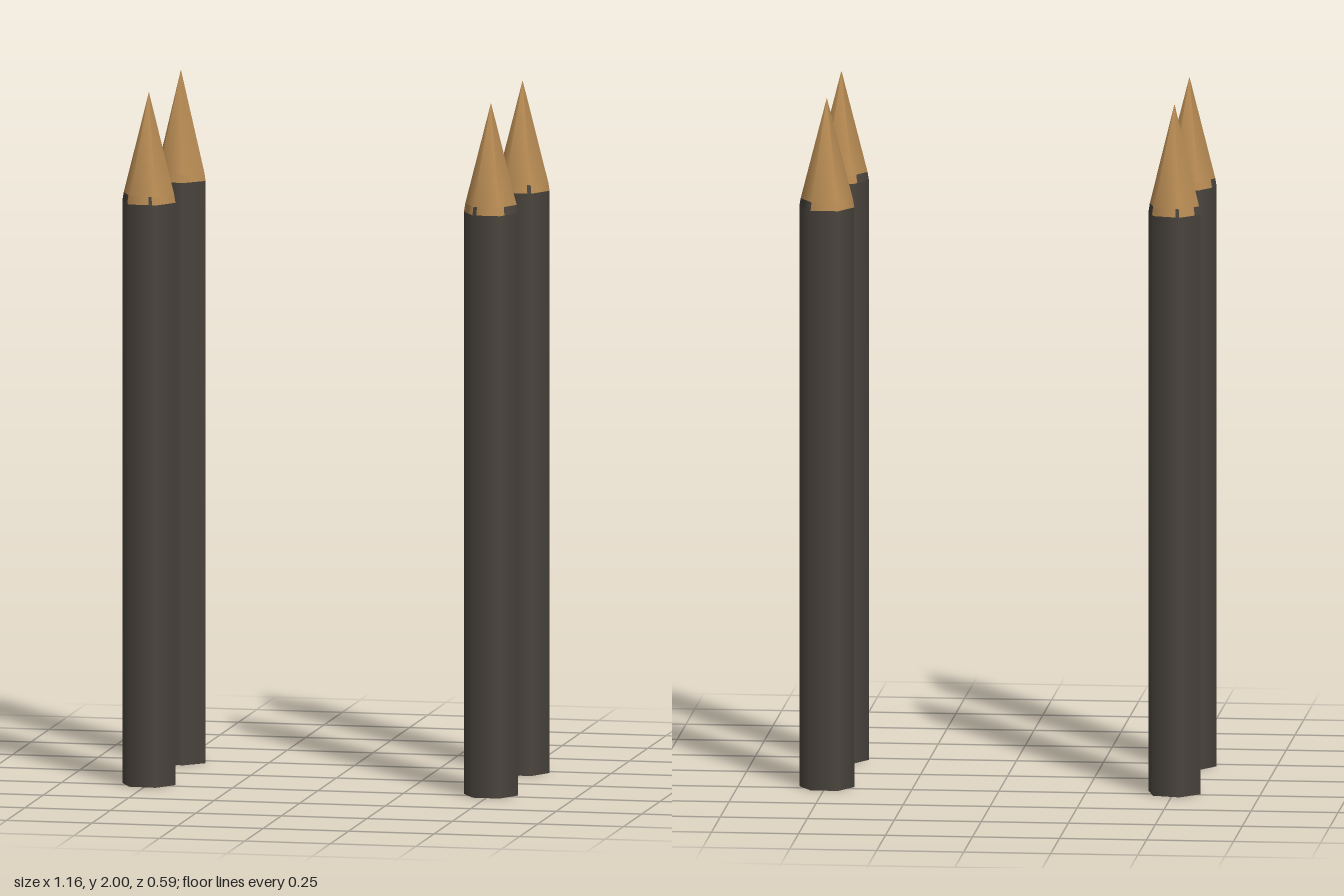
import * as THREE from 'three';

const R = 0.079, BODY_TOP = 1.683, BAND_TOP = 1.707, SHOULDER = 1.692, TIP = 2;
const SEGMENTS = 48;

// open six-sided tube with smooth sides, a corner on +x
function hexTube(rTop, rBottom, y0, y1, segments = 6) {
  const geo = new THREE.CylinderGeometry(rTop, rBottom, y1 - y0, segments, 1, true, Math.PI / 2);
  geo.translate(0, (y0 + y1) / 2, 0);
  if (segments > 6) {
    // pull the extra points in onto the flat hexagon sides
    const p = geo.attributes.position;
    for (let i = 0; i < p.count; i++) {
      const a = Math.atan2(p.getZ(i), p.getX(i)) + Math.PI * 2;
      const off = (a % (Math.PI / 3)) - Math.PI / 6;
      const k = Math.cos(Math.PI / 6) / Math.cos(off);
      p.setXYZ(i, p.getX(i) * k, p.getY(i), p.getZ(i) * k);
    }
  }
  return geo;
}

export function createModel() {
  const paint = new THREE.MeshStandardMaterial({ color: 0x4b453e, side: THREE.DoubleSide });
  paint.name = 'darkPaint';
  const wood = new THREE.MeshStandardMaterial({ color: 0xb98c54, side: THREE.DoubleSide });
  wood.name = 'bareWood';

  const bandRadius = R * (TIP - BAND_TOP) / (TIP - SHOULDER);
  const model = new THREE.Group();
  model.name = 'pencils';

  function addPencil(name, x, z, turn, darkArcs) {
    const pencil = new THREE.Group();
    pencil.name = name;
    const add = (part, geo, mat) => {
      const mesh = new THREE.Mesh(geo, mat);
      mesh.name = part;
      pencil.add(mesh);
    };
    add('shaft', hexTube(R, R, 0, BODY_TOP), paint);

    // ragged edge between paint and wood
    const band = hexTube(bandRadius, R, BODY_TOP, BAND_TOP, SEGMENTS);
    band.clearGroups();
    for (let k = 0; k < SEGMENTS; k++) {
      const angle = 360 - (k + 0.5) * 360 / SEGMENTS;
      const dark = darkArcs.some(([from, to]) => angle > from && angle < to);
      band.addGroup(k * 6, 6, dark ? 0 : 1);
    }
    add('raggedPaintEdge', band, [paint, wood]);

    add('sharpenedTip', hexTube(0, bandRadius, BAND_TOP, TIP), wood);
    pencil.position.set(x, 0, z);
    pencil.rotation.y = -THREE.MathUtils.degToRad(turn);
    model.add(pencil);
  }

  // dark arcs are in degrees from +x towards +z
  addPencil('frontLeftPencil', 0.5, 0.223, 0, [[0, 45], [112, 120], [180, 225]]);
  addPencil('backLeftPencil', 0.497, -0.223, 0, [[300, 360], [60, 68], [150, 180]]);
  addPencil('frontRightPencil', -0.5, 0.223, 4, [[135, 195], [67, 75], [300, 315]]);
  addPencil('backRightPencil', -0.502, -0.223, 14.5, [[315, 360], [165, 195], [240, 248]]);
  return model;
}
